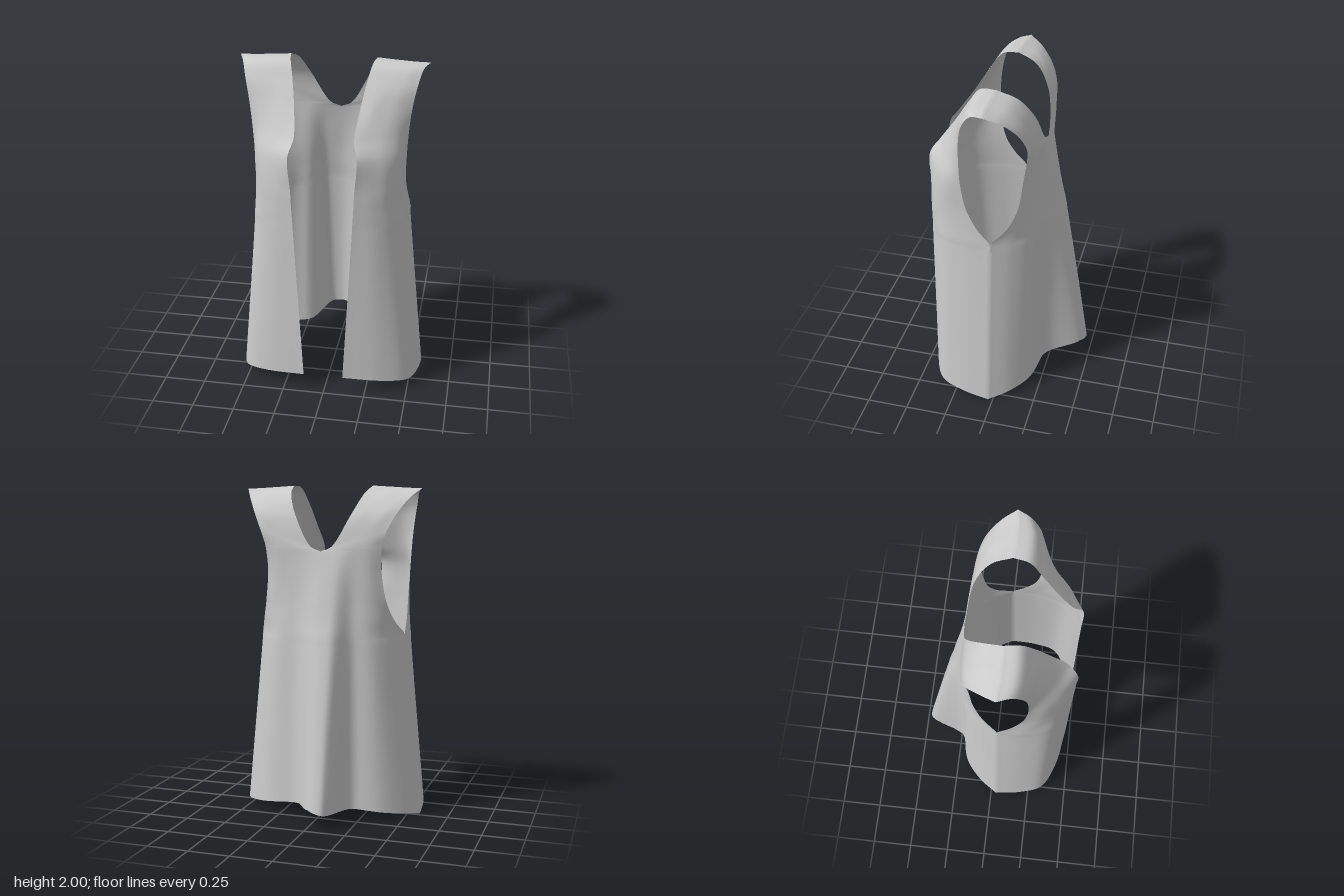
import * as THREE from 'three';
import { mergeVertices } from 'three/addons/utils/BufferGeometryUtils.js';

// Each row runs from the centre edge to the side or armhole edge:
// [y at centre, y at side, five x values, five z values], hem to shoulder.
const shoulder = [1.995, 1.978, 0.25, 0.32, 0.39, 0.46, 0.55, 0.04, 0.045, 0.045, 0.045, 0.035];

const frontRows = [
  [0.10, 0.00, 0.12, 0.35, 0.50, 0.55, 0.567, 0.465, 0.42, 0.34, 0.20, 0.03],
  [1.06, 1.06, 0.17, 0.31, 0.41, 0.455, 0.462, 0.46, 0.42, 0.34, 0.19, 0.03],
  [1.11, 1.11, 0.172, 0.307, 0.405, 0.452, 0.458, 0.46, 0.42, 0.345, 0.195, 0.03],
  [1.20, 1.20, 0.177, 0.295, 0.385, 0.438, 0.451, 0.46, 0.425, 0.36, 0.235, 0.105],
  [1.32, 1.32, 0.182, 0.275, 0.36, 0.42, 0.442, 0.46, 0.43, 0.38, 0.285, 0.17],
  [1.52, 1.49, 0.195, 0.27, 0.35, 0.415, 0.446, 0.455, 0.41, 0.36, 0.29, 0.20],
  [1.61, 1.64, 0.17, 0.24, 0.32, 0.39, 0.455, 0.395, 0.36, 0.32, 0.27, 0.203],
  [1.75, 1.77, 0.185, 0.25, 0.32, 0.39, 0.47, 0.295, 0.285, 0.26, 0.235, 0.195],
  [1.89, 1.88, 0.21, 0.28, 0.355, 0.425, 0.492, 0.205, 0.205, 0.20, 0.19, 0.17],
  [1.985, 1.96, 0.235, 0.305, 0.38, 0.45, 0.518, 0.13, 0.135, 0.135, 0.13, 0.11],
  shoulder,
];

// The close pairs of rows keep the armhole tip and the neckline crisp
const backRows = [
  [0.11, 0.00, 0.00, 0.14, 0.36, 0.485, 0.567, -0.22, -0.225, -0.19, -0.09, 0.03],
  [1.06, 1.06, 0.00, 0.14, 0.295, 0.39, 0.462, -0.21, -0.21, -0.18, -0.09, 0.03],
  [1.11, 1.11, 0.00, 0.14, 0.285, 0.38, 0.458, -0.21, -0.21, -0.18, -0.095, 0.03],
  [1.20, 1.20, 0.00, 0.13, 0.26, 0.345, 0.415, -0.205, -0.205, -0.185, -0.135, -0.055],
  [1.32, 1.32, 0.00, 0.12, 0.235, 0.31, 0.378, -0.205, -0.20, -0.185, -0.16, -0.112],
  [1.50, 1.50, 0.00, 0.11, 0.21, 0.29, 0.355, -0.20, -0.20, -0.19, -0.175, -0.14],
  [1.60, 1.64, 0.00, 0.105, 0.20, 0.285, 0.362, -0.20, -0.20, -0.195, -0.185, -0.162],
  [1.61, 1.65, 0.00, 0.105, 0.20, 0.286, 0.364, -0.20, -0.20, -0.195, -0.185, -0.163],
  [1.64, 1.73, 0.065, 0.15, 0.23, 0.31, 0.39, -0.195, -0.192, -0.188, -0.18, -0.168],
  [1.82, 1.84, 0.17, 0.23, 0.30, 0.375, 0.445, -0.16, -0.16, -0.155, -0.15, -0.13],
  [1.945, 1.93, 0.227, 0.29, 0.36, 0.43, 0.505, -0.075, -0.07, -0.07, -0.06, -0.05],
  shoulder,
];

// The garment hangs slightly towards its right
const OFFSET = -0.006;

// Off-centre fold in the back cloth, deepening from the neck to the hem
function foldDepth(x, y) {
  const d = Math.abs(x + 0.075);
  const width = x < -0.075 ? 0.092 : 0.155;
  const fade = Math.pow(Math.max(0, 1 - y / 1.62), 0.88);
  return 0.262 * fade * Math.exp(-((d / width) ** 3));
}

// Smooth cloth surface through the rows, on one side (+1 or -1)
function panel(rows, side, isBack) {
  const grid = rows.map((r) => {
    const pts = [0, 1, 2, 3, 4].map((i) =>
      new THREE.Vector3(r[2 + i], THREE.MathUtils.lerp(r[0], r[1], i / 4), r[7 + i]));
    const curve = new THREE.CatmullRomCurve3(pts);
    return Array.from({ length: 33 }, (_, k) => curve.getPoint(k / 32));
  });
  const columns = grid[0].map((_, k) =>
    new THREE.CatmullRomCurve3(grid.map((row) => row[k])).getPoints((rows.length - 1) * 8));
  const n = columns[0].length;
  const position = [];
  const index = [];
  columns.forEach((column, k) => column.forEach((p, j) => {
    const x = p.x * side + OFFSET;
    position.push(x, p.y, p.z - (isBack ? foldDepth(x, p.y) : 0));
    if (k === 0 || j === 0) return;
    const a = (k - 1) * n + j - 1, b = k * n + j - 1;
    if ((side > 0) !== isBack) index.push(a, b, b + 1, a, b + 1, a + 1);
    else index.push(a, b + 1, b, a, a + 1, b + 1);
  }));
  return { position, index };
}

// Join panels into one mesh so the cloth is smooth across side and shoulder
function clothMesh(name, panels) {
  const position = [];
  const index = [];
  for (const p of panels) {
    const base = position.length / 3;
    for (const v of p.position) position.push(v);
    for (const i of p.index) index.push(i + base);
  }
  let geometry = new THREE.BufferGeometry();
  geometry.setAttribute('position', new THREE.Float32BufferAttribute(position, 3));
  geometry.setIndex(index);
  geometry = mergeVertices(geometry, 5e-4);
  geometry.computeVertexNormals();
  const material = new THREE.MeshStandardMaterial({ color: 0xcccccc, side: THREE.DoubleSide });
  const mesh = new THREE.Mesh(geometry, material);
  mesh.name = name;
  return mesh;
}

export function createModel() {
  const vest = new THREE.Group();
  vest.name = 'vest';
  const panels = [1, -1].flatMap((side) =>
    [panel(frontRows, side, false), panel(backRows, side, true)]);
  vest.add(clothMesh('vestCloth', panels));
  return vest;
}
